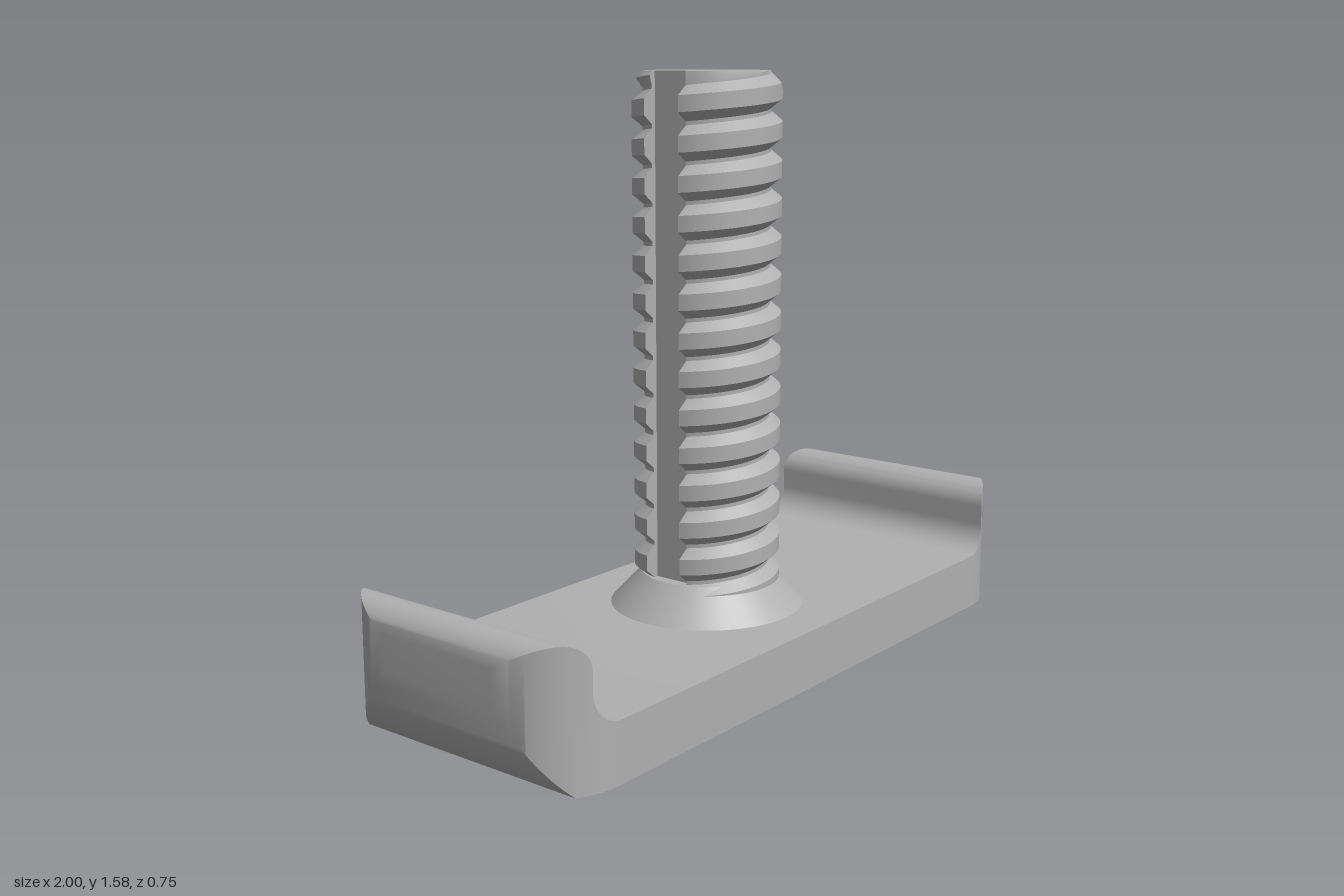
import * as THREE from 'three';
import { toCreasedNormals } from 'three/addons/utils/BufferGeometryUtils.js';

const steel = new THREE.MeshStandardMaterial({ color: 0xb0b0b0 });
steel.name = 'grey steel';

// Collects quads and triangles, skipping collapsed ones, and keeps sharp edges sharp
function surface() {
  const pos = [];
  const tri = (a, b, c) => {
    if (new THREE.Triangle(a, b, c).getArea() < 1e-9) return;
    for (const p of [a, b, c]) pos.push(p.x, p.y, p.z);
  };
  const quad = (a, b, c, d) => { tri(a, b, c); tri(a, c, d); };
  const mesh = (name) => {
    const g = new THREE.BufferGeometry();
    g.setAttribute('position', new THREE.Float32BufferAttribute(pos, 3));
    g.computeVertexNormals();
    const m = new THREE.Mesh(toCreasedNormals(g, 0.55), steel);
    m.name = name;
    return m;
  };
  return { tri, quad, mesh };
}

const V = (x, y, z) => new THREE.Vector3(x, y, z);

// Plate with upturned rounded lips; plan has rounded corners, ends curve in below
function basePlate() {
  const halfWidth = (x) => {
    const d = Math.max(0, Math.abs(x) - 0.8);
    return 0.175 + Math.sqrt(Math.max(0, 0.04 - d * d));
  };
  const bottom = (x) => {
    const r = 0.28, d = Math.abs(x) - (1 - r);
    return Math.abs(x) <= 0.91 ? 0 : Math.max(0, 0.206 - Math.sqrt(Math.max(0, r * r - d * d)));
  };

  // stations [x, top height] along one half
  const half = [[0, 0.155]];
  for (let i = 0; i <= 10; i++) {           // inner fillet
    const a = (i / 10) * Math.PI / 2;
    half.push([0.79 + 0.08 * Math.sin(a), 0.235 - 0.08 * Math.cos(a)]);
  }
  for (let i = 0; i <= 28; i++) {           // rounded lip
    const a = (i / 28) * Math.PI;
    half.push([0.935 - 0.065 * Math.cos(a), 0.29 + 0.065 * Math.sin(a)]);
  }
  half.push([0.91, 0.29 + Math.sqrt(0.065 ** 2 - 0.025 ** 2)]);
  const lip = half.splice(12).sort((a, b) => a[0] - b[0]);
  half.push(...lip);

  const stations = [...half.slice(1).reverse().map(([x, y]) => [-x, y]), ...half];
  const rings = stations.map(([x, top]) => {
    const w = halfWidth(x), b = bottom(x);
    return [V(x, b, -w), V(x, b, w), V(x, top, w), V(x, top, -w)];
  });

  const s = surface();
  for (let i = 0; i < rings.length - 1; i++) {
    for (let j = 0; j < 4; j++) {
      const k = (j + 1) % 4;
      s.quad(rings[i][j], rings[i + 1][j], rings[i + 1][k], rings[i][k]);
    }
  }
  s.quad(...rings[0]);
  s.quad(...rings[rings.length - 1].slice().reverse());
  return s.mesh('basePlate');
}

// Right-handed threaded shaft with a flat-bottomed keyway on the -x side
function threadedShaft() {
  const pitch = 0.1, crestY = 1.545, y0 = 0.2, y1 = 1.58;
  const major = 0.196, minor = 0.167, crest = 0.021, root = 0.045;
  const slotX = -0.145, slotZ = 0.055, slotAngle = Math.PI - 0.29;

  const radius = (y, t) => {
    const u = (y - crestY) / pitch - t / (2 * Math.PI);
    const d = Math.abs(u - Math.round(u)) * pitch;
    const k = THREE.MathUtils.clamp((d - crest) / (root - crest), 0, 1);
    return Math.min(major + (minor - major) * k, 0.165 + (y1 - y) * 0.9);
  };

  // rows follow the helix at the profile's corners
  const rows = [];
  for (let n = -15; n <= 2; n++) {
    for (const o of [-root, -crest, 0, crest, root]) rows.push(crestY + n * pitch + o);
  }

  const N = 96, columns = [];
  const column = (t, place) => columns.push(rows.map((v) => {
    const y = THREE.MathUtils.clamp(v + pitch * t / (2 * Math.PI), y0, y1);
    return place(y, radius(y, t));
  }));
  const slotWall = (t, z) => column(t, (y, r) => V(-Math.sqrt(r * r - z * z), y, z));
  const slotFloor = (t, z) => column(t, (y) => V(slotX, y, z));

  slotFloor(-slotAngle, slotZ);
  slotWall(-slotAngle, slotZ);
  for (let i = 1; i < N; i++) {
    const t = -slotAngle + (2 * slotAngle * i) / N;
    column(t, (y, r) => V(r * Math.cos(t), y, -r * Math.sin(t)));
  }
  slotWall(slotAngle, -slotZ);
  slotFloor(slotAngle, -slotZ);

  const s = surface(), last = rows.length - 1, centre = V(0, y1, 0);
  for (let i = 0; i < columns.length; i++) {
    const a = columns[i], b = columns[(i + 1) % columns.length];
    if (i < columns.length - 1) {
      for (let k = 0; k < last; k++) s.quad(a[k], b[k], b[k + 1], a[k + 1]);
    } else {
      s.quad(a[0], b[0], b[last], a[last]);  // keyway floor
    }
    s.tri(centre, a[last], b[last]);         // top face
  }
  return s.mesh('threadedShaft');
}

export function createModel() {
  const model = new THREE.Group();
  model.name = 'tBolt';
  model.add(basePlate(), threadedShaft());

  // Conical collar where the shaft meets the plate
  const collar = new THREE.Mesh(new THREE.CylinderGeometry(0.178, 0.262, 0.09, 96), steel);
  collar.position.y = 0.2;
  collar.name = 'collar';
  model.add(collar);
  return model;
}
